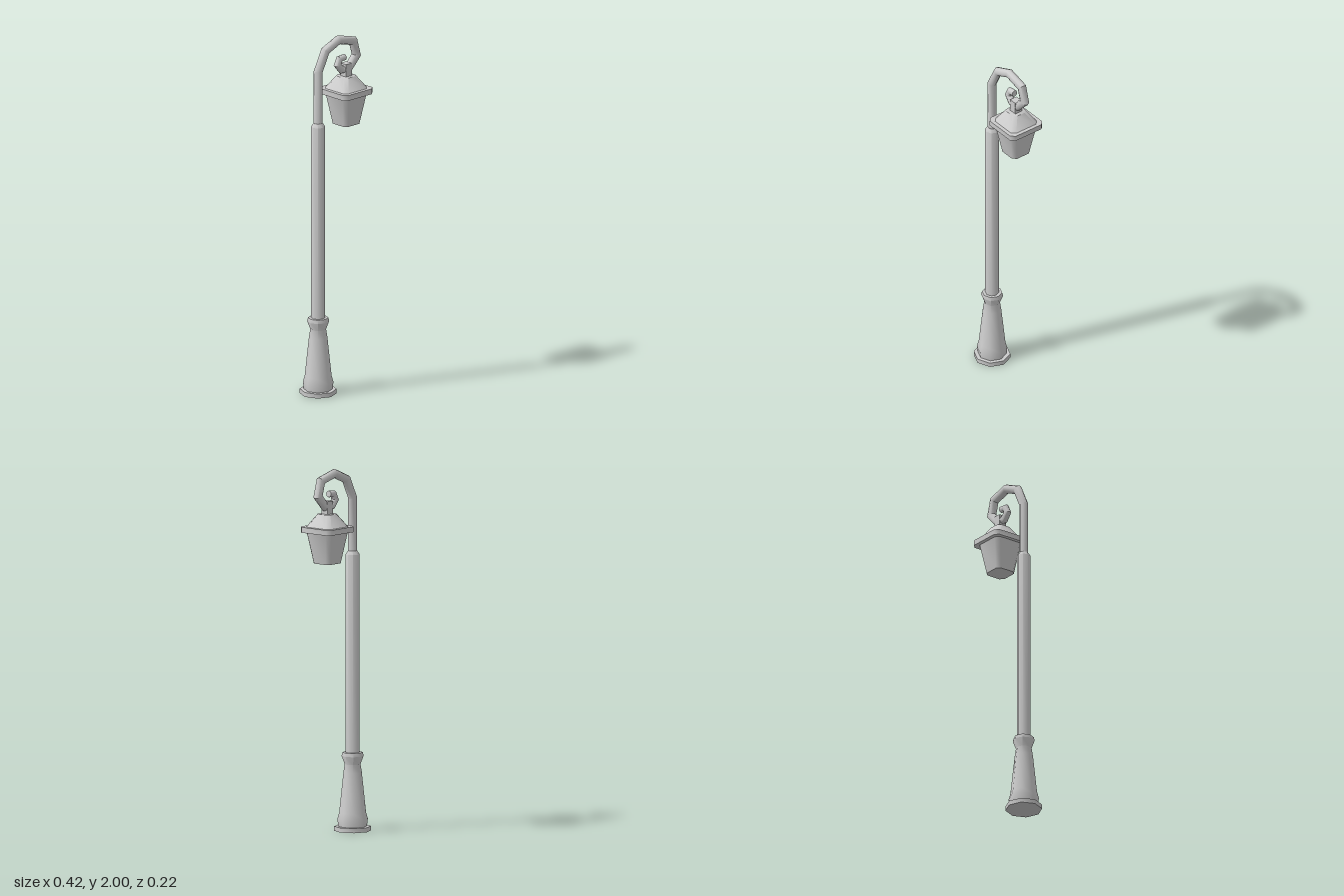
import * as THREE from 'three';
import { toCreasedNormals } from 'three/addons/utils/BufferGeometryUtils.js';

const material = new THREE.MeshStandardMaterial({ color: 0xcccccc });
const POLE_X = -0.11;
const LAMP_X = 0.1;

function part(name, geometry, x = 0, crease = 0.9) {
  const mesh = new THREE.Mesh(toCreasedNormals(geometry, crease), material);
  mesh.name = name;
  mesh.position.x = x;
  return mesh;
}

// Turned eight-sided part from [radius, height] pairs
function turned(name, profile) {
  const points = profile.map(([r, y]) => new THREE.Vector2(r, y));
  return part(name, new THREE.LatheGeometry(points, 8), POLE_X);
}

// Closed skin through rings of points, with flat caps at both ends
function loft(rings) {
  const n = rings[0].length;
  const index = [];
  for (let i = 0; i < rings.length - 1; i++) {
    for (let j = 0; j < n; j++) {
      const a = i * n + j, b = i * n + (j + 1) % n;
      index.push(a, b, a + n, b, b + n, a + n);
    }
  }
  const last = (rings.length - 1) * n;
  for (let j = 1; j < n - 1; j++) {
    index.push(0, j + 1, j, last, last + j, last + j + 1);
  }
  const geometry = new THREE.BufferGeometry().setFromPoints(rings.flat());
  geometry.setIndex(index);
  return geometry;
}

// Square ring with cut corners, half-width h and cut c, at height y
function cutSquare(h, c, y) {
  const k = h - c;
  return [[-k, h], [k, h], [h, k], [h, -k], [k, -h], [-k, -h], [-h, -k], [-h, k]]
    .map(([x, z]) => new THREE.Vector3(x, y, z));
}

// Round tube along a bent line in the xy plane, mitred at each bend
function bentTube(path) {
  const points = path.map(([x, y]) => new THREE.Vector2(x, y));
  const direction = (i) => points[i + 1].clone().sub(points[i]).normalize();
  const rings = points.map((p, i) => {
    const before = direction(Math.max(i - 1, 0));
    const after = direction(Math.min(i, points.length - 2));
    const t = before.clone().add(after).normalize();
    const mitre = 1 / t.dot(after);
    const r = path[i][2];
    return Array.from({ length: 8 }, (_, j) => {
      const a = (j / 8) * Math.PI * 2;
      const s = Math.cos(a) * r * mitre;
      return new THREE.Vector3(p.x - t.y * s, p.y + t.x * s, Math.sin(a) * r);
    });
  });
  return loft(rings);
}

export function createModel() {
  const model = new THREE.Group();
  model.name = 'streetLamp';

  // Foot, flared pedestal and pole
  model.add(turned('foot', [[0, 0], [0.1, 0], [0.1, 0.025], [0, 0.025]]));
  model.add(turned('pedestal', [
    [0.078, 0.025], [0.083, 0.065], [0.073, 0.1], [0.05, 0.32], [0.043, 0.365],
    [0.06, 0.41], [0.055, 0.43], [0, 0.43],
  ]));
  model.add(turned('pole', [[0.038, 0.4], [0.038, 1.515], [0.025, 1.535], [0, 1.535]]));

  // Curled arm: x, y, radius
  model.add(part('arm', bentTube([
    [POLE_X, 1.5, 0.024], [POLE_X, 1.825, 0.024], [-0.057, 1.933, 0.024],
    [0.042, 1.975, 0.024], [0.152, 1.946, 0.024], [0.176, 1.862, 0.024],
    [0.118, 1.8, 0.023], [0.064, 1.8, 0.021], [0.035, 1.832, 0.019],
    [0.05, 1.864, 0.018], [0.088, 1.867, 0.018],
  ])));

  // Lantern hung below the curl
  const lantern = new THREE.Group();
  lantern.name = 'lantern';
  const neck = new THREE.BoxGeometry(0.045, 0.075, 0.045);
  neck.translate(0, 1.793, 0);
  lantern.add(part('neck', neck, LAMP_X));
  lantern.add(part('roof', loft([
    cutSquare(0.093, 0.022, 1.685), cutSquare(0.045, 0.02, 1.76),
  ]), LAMP_X));
  lantern.add(part('rim', loft([
    cutSquare(0.111, 0.022, 1.66), cutSquare(0.111, 0.022, 1.69),
  ]), LAMP_X));
  lantern.add(part('lampBody', loft([
    cutSquare(0.061, 0.02, 1.49), cutSquare(0.09, 0.022, 1.665),
  ]), LAMP_X));
  model.add(lantern);

  return model;
}
